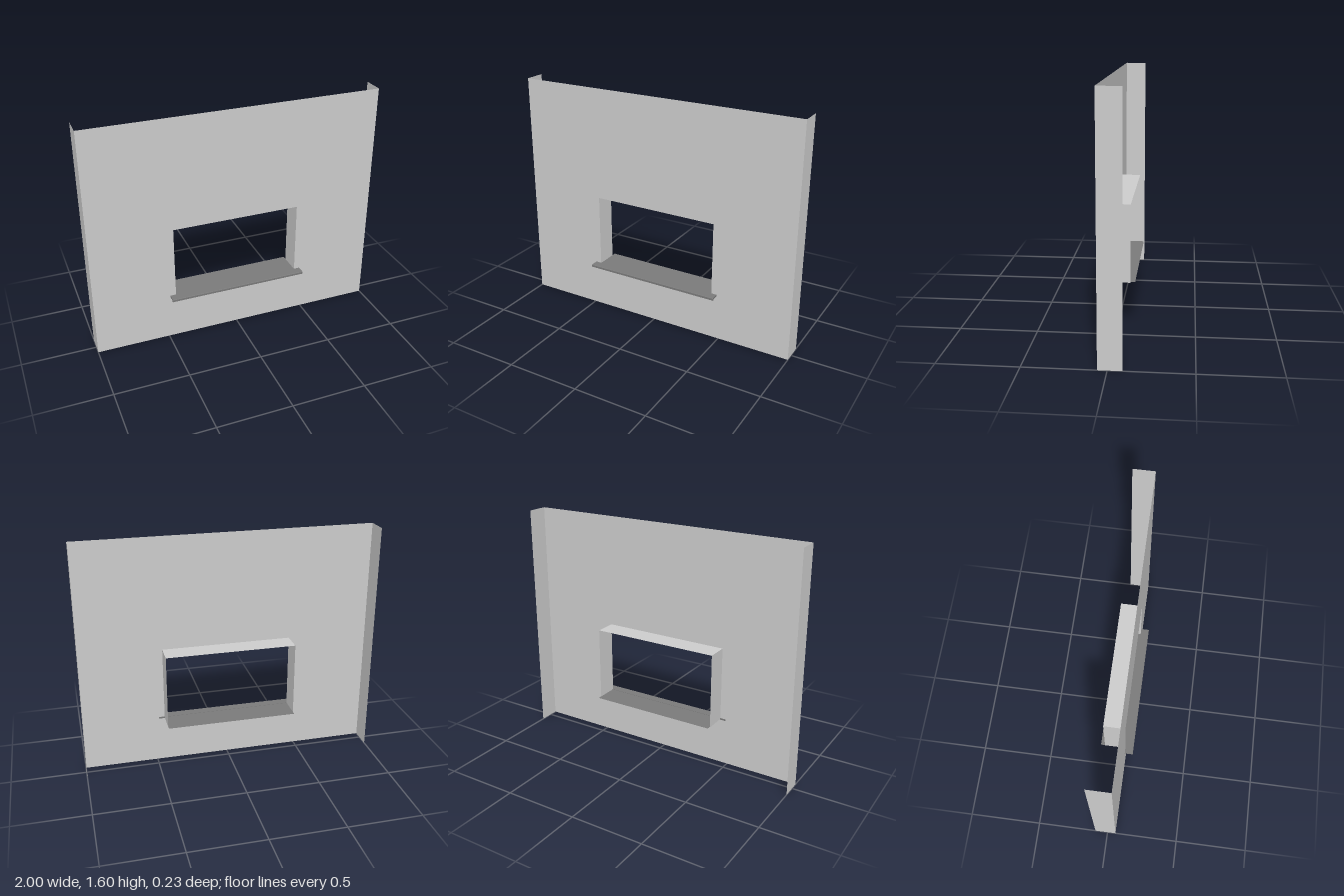
import * as THREE from 'three';

const FRONT = 0.058, BACK = -0.088, DEPTH = FRONT - BACK;
const WIN_X = 0.44, WIN_BOTTOM = 0.323, WIN_TOP = 0.83, HEIGHT = 1.6;

export function createModel() {
  const model = new THREE.Group();
  const grey = new THREE.MeshStandardMaterial({ color: 0xcccccc, side: THREE.DoubleSide });
  const dark = new THREE.MeshStandardMaterial({ color: 0x7a7a7a });

  const add = (name, geometry, material = grey) => {
    const mesh = new THREE.Mesh(geometry, material);
    mesh.name = name;
    model.add(mesh);
    return mesh;
  };

  // Thin wall sheet with the window opening
  const face = new THREE.Shape([[-1, 0], [1, 0], [1, HEIGHT], [-1, HEIGHT]].map(p => new THREE.Vector2(...p)));
  face.holes.push(new THREE.Path([
    [-WIN_X, WIN_BOTTOM], [-WIN_X, WIN_TOP], [WIN_X, WIN_TOP], [WIN_X, WIN_BOTTOM],
  ].map(p => new THREE.Vector2(...p))));
  add('wallFace', new THREE.ShapeGeometry(face).translate(0, 0, FRONT));

  // Returns at the wall ends and the sides of the window reveal
  const midZ = (FRONT + BACK) / 2;
  const winH = WIN_TOP - WIN_BOTTOM;
  for (const side of [-1, 1]) {
    const label = side > 0 ? 'left' : 'right';
    add(label + 'WallReturn', new THREE.PlaneGeometry(DEPTH, HEIGHT)
      .rotateY(side * Math.PI / 2).translate(side, HEIGHT / 2, midZ));
    add(label + 'Reveal', new THREE.PlaneGeometry(DEPTH, winH)
      .rotateY(-side * Math.PI / 2).translate(side * WIN_X, WIN_BOTTOM + winH / 2, midZ));
  }

  // Top and bottom of the reveal
  add('revealTop', new THREE.PlaneGeometry(2 * WIN_X, DEPTH)
    .rotateX(Math.PI / 2).translate(0, WIN_TOP, midZ));
  add('revealBottom', new THREE.PlaneGeometry(2 * WIN_X, DEPTH)
    .rotateX(-Math.PI / 2).translate(0, WIN_BOTTOM, midZ));

  // Sill sheet running through the opening, facing up only
  const sillBack = -0.117;
  add('sillSheet', new THREE.PlaneGeometry(2 * WIN_X, FRONT - sillBack)
    .rotateX(-Math.PI / 2).translate(0, 0.328, (FRONT + sillBack) / 2), dark);

  // Projecting sill with a turned-down lip; profile is (z, y), extruded along x
  const profile = new THREE.Shape([
    [0.053, 0.32], [0.107, 0.32], [0.107, 0.313], [0.115, 0.313],
    [0.115, 0.327], [0.112, 0.33], [0.053, 0.33],
  ].map(p => new THREE.Vector2(...p)));
  const sillWidth = 0.96;
  add('sillNosing', new THREE.ExtrudeGeometry(profile, { depth: sillWidth, bevelEnabled: false })
    .translate(0, 0, -sillWidth / 2)
    .applyMatrix4(new THREE.Matrix4().makeRotationY(-Math.PI / 2)), dark);

  return model;
}
